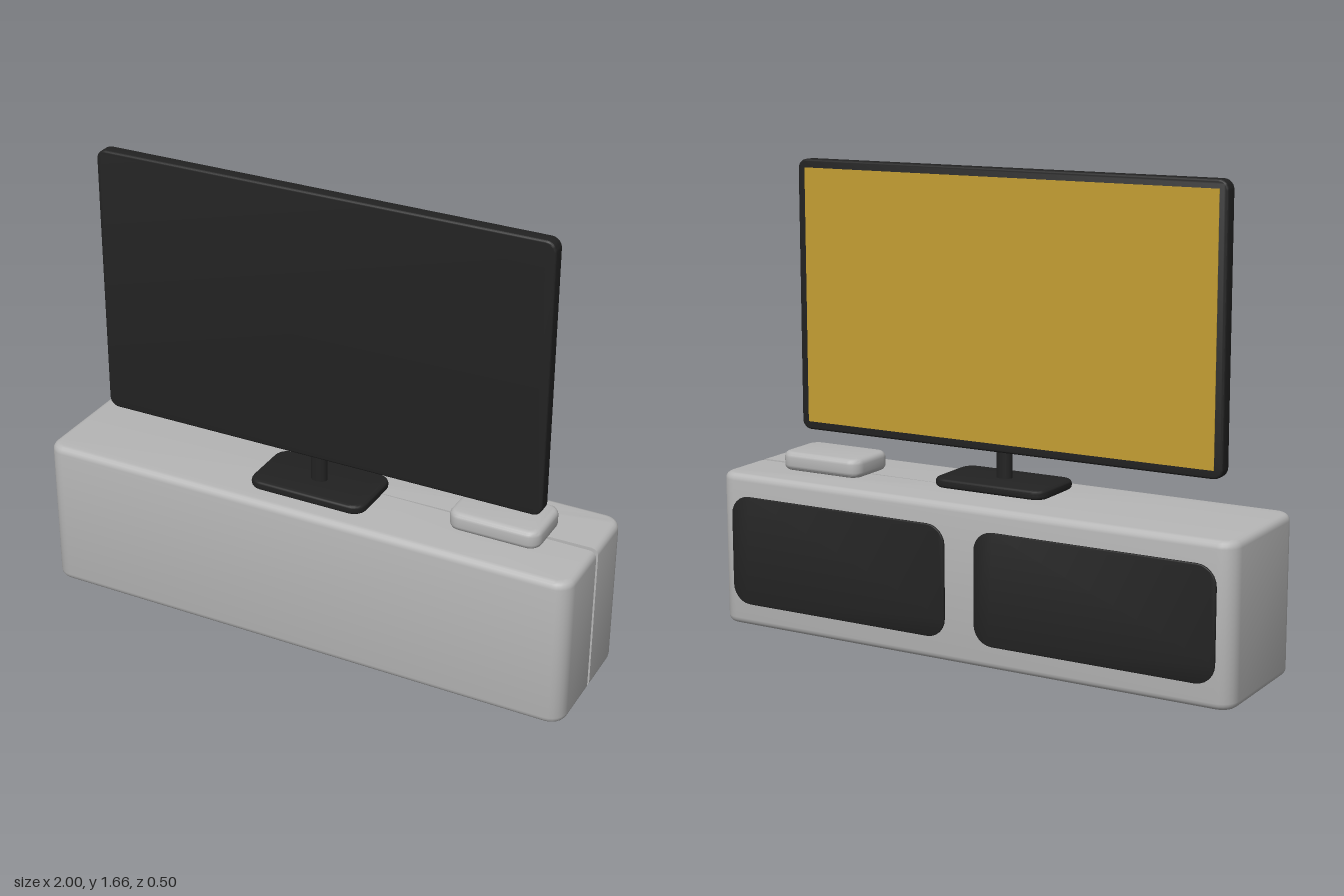
import * as THREE from 'three';
import { toCreasedNormals } from 'three/addons/utils/BufferGeometryUtils.js';

const material = (name, color) => {
  const m = new THREE.MeshStandardMaterial({ color });
  m.name = name;
  return m;
};

// Rounded rectangle outline, counter-clockwise, with an optional wedge cut in the +x end
function outline(w, d, r, notch) {
  const pts = [];
  const corner = (cx, cy, start) => {
    for (let i = 0; i <= 6; i++) {
      const a = start + (i / 6) * Math.PI / 2;
      pts.push(new THREE.Vector2(cx + r * Math.cos(a), cy + r * Math.sin(a)));
    }
  };
  const x = w / 2 - r, y = d / 2 - r;
  if (notch) {
    const mid = (notch[0] + notch[1]) / 2;
    pts.push(new THREE.Vector2(w / 2, notch[0]));
    pts.push(new THREE.Vector2(0, mid));
    pts.push(new THREE.Vector2(w / 2, notch[1]));
  }
  corner(x, y, 0);
  corner(-x, y, Math.PI / 2);
  corner(-x, -y, Math.PI);
  corner(x, -y, Math.PI * 1.5);
  return pts;
}

// Slab lying flat, centred on the origin, with round corners and rounded rims
function slab(w, d, h, r, bevel, notch) {
  const rings = [], steps = 4;
  for (const side of [-1, 1]) {
    for (let i = 0; i <= steps; i++) {
      const a = (side < 0 ? steps - i : i) / steps * Math.PI / 2;
      const inset = bevel * (1 - Math.cos(a));
      const y = side * (h / 2 - bevel * (1 - Math.sin(a)));
      rings.push({ y, pts: outline(w - 2 * inset, d - 2 * inset, r - inset, notch) });
    }
  }
  const pos = [];
  const put = (ring, i) => pos.push(ring.pts[i].x, ring.y, -ring.pts[i].y);
  const n = rings[0].pts.length;
  for (let k = 0; k < rings.length - 1; k++) {
    const lo = rings[k], hi = rings[k + 1];
    for (let i = 0; i < n; i++) {
      const j = (i + 1) % n;
      put(lo, i); put(lo, j); put(hi, j);
      put(lo, i); put(hi, j); put(hi, i);
    }
  }
  const bottom = rings[0], top = rings[rings.length - 1];
  for (const [a, b, c] of THREE.ShapeUtils.triangulateShape(top.pts, [])) {
    put(top, a); put(top, b); put(top, c);
    put(bottom, c); put(bottom, b); put(bottom, a);
  }
  const g = new THREE.BufferGeometry();
  g.setAttribute('position', new THREE.Float32BufferAttribute(pos, 3));
  return toCreasedNormals(g, 0.6);
}

export function createModel() {
  const grey = material('cabinet grey', 0xb6b6b6);
  const black = material('matte black', 0x222222);
  const gold = material('screen gold', 0xc49e32);
  const model = new THREE.Group();
  model.name = 'televisionOnCabinet';

  const add = (name, geometry, mat, x, y, z) => {
    const mesh = new THREE.Mesh(geometry, mat);
    mesh.name = name;
    mesh.position.set(x, y, z);
    model.add(mesh);
    return mesh;
  };

  // Cabinet with a narrow cable slit in one end
  add('cabinet', slab(2, 0.493, 0.555, 0.06, 0.025, [-0.006, 0.012]), grey, 0, 0.2775, 0.0035);

  // Dark door panels
  for (const side of [-1, 1]) {
    const door = slab(0.885, 0.395, 0.009, 0.07, 0.003).rotateX(Math.PI / 2);
    add(side < 0 ? 'rightDoor' : 'leftDoor', door, black, side * 0.5, 0.28, -0.2455);
  }

  // Small box on top of the cabinet
  add('mediaBox', slab(0.33, 0.215, 0.068, 0.045, 0.02), grey, 0.665, 0.589, 0);

  // Television stand
  add('standBase', slab(0.44, 0.25, 0.034, 0.05, 0.014), black, 0, 0.573, 0.055);
  add('standNeck', new THREE.CylinderGeometry(0.03, 0.03, 0.12, 24).scale(1, 1, 0.75), black, 0, 0.64, 0.06);

  // Television housing and its screen
  const housing = slab(1.66, 0.975, 0.052, 0.035, 0.008).rotateX(Math.PI / 2);
  add('televisionHousing', housing, black, 0, 1.168, 0.06);
  add('screen', new THREE.BoxGeometry(1.6, 0.915, 0.004), gold, 0, 1.168, 0.0335);

  return model;
}
